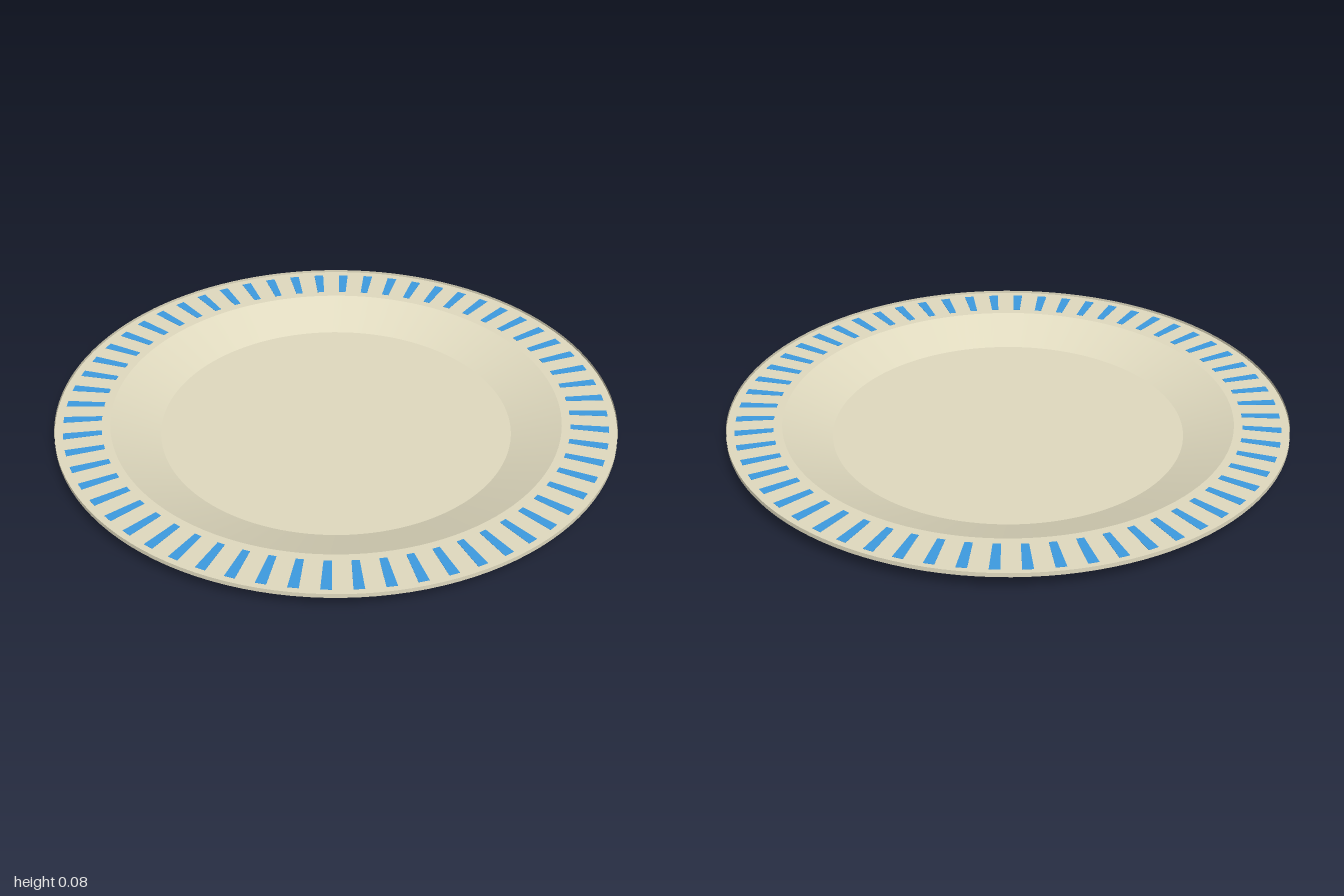
import * as THREE from 'three';
import { toCreasedNormals } from 'three/addons/utils/BufferGeometryUtils.js';

const SEGMENTS = 120;
const STRIPES = 60;
const RIM_Y = 0.066;

const cream = new THREE.MeshStandardMaterial({ color: 0xe0dabf, side: THREE.DoubleSide });
const blue = new THREE.MeshStandardMaterial({ color: 0x3d9be0 });

// Revolves a short [radius, height] profile, keeping its edges crisp
function revolve(name, profile) {
  const points = profile.map(([r, y]) => new THREE.Vector2(r, y));
  const mesh = new THREE.Mesh(toCreasedNormals(new THREE.LatheGeometry(points, SEGMENTS), 0.2), cream);
  mesh.name = name;
  return mesh;
}

export function createModel() {
  const plate = new THREE.Group();
  plate.name = 'plate';

  // Thin dish: flat floor, sloping wall and flat rim
  plate.add(revolve('dish', [[0, 0], [0.63, 0], [0.805, RIM_Y], [0.999, RIM_Y]]));

  // Upright band around the outer edge
  plate.add(revolve('edgeBand', [[1, 0.06], [1, 0.075]]));

  // Tapered stripes, showing on both faces of the rim
  const outline = new THREE.Shape([
    new THREE.Vector2(-0.013, 0.835),
    new THREE.Vector2(0.013, 0.835),
    new THREE.Vector2(0.018, 0.97),
    new THREE.Vector2(-0.018, 0.97),
  ]);
  const stripeGeometry = new THREE.ExtrudeGeometry(outline, { depth: 0.002, bevelEnabled: false });
  stripeGeometry.translate(0, 0, -0.001).rotateX(-Math.PI / 2);

  const stripes = new THREE.Group();
  stripes.name = 'rimStripes';
  for (let i = 0; i < STRIPES; i++) {
    const stripe = new THREE.Mesh(stripeGeometry, blue);
    stripe.name = 'rimStripe';
    stripe.position.y = RIM_Y;
    stripe.rotation.y = ((i + 0.5) / STRIPES) * Math.PI * 2;
    stripes.add(stripe);
  }
  plate.add(stripes);

  return plate;
}
